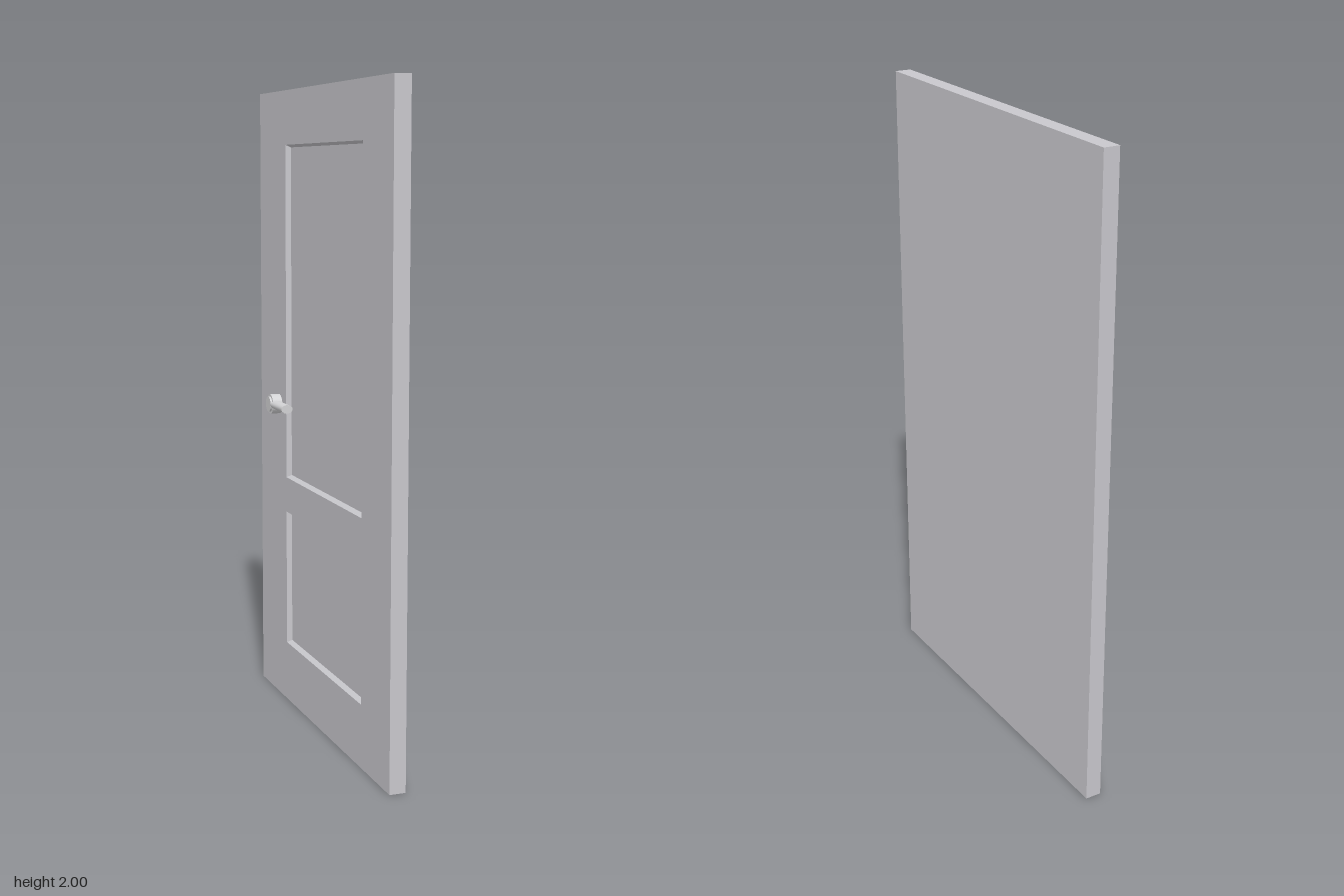
import * as THREE from 'three';

const BACK = 0.0435, FACE = -0.0065, RECESS = 0.016; // slab faces along x, panel depth
const HALF_W = 0.57, HEIGHT = 2;
const PANELS = [
  { z0: -0.315, z1: 0.35, y0: 0.755, y1: 1.83 },
  { z0: -0.315, z1: 0.35, y0: 0.195, y1: 0.64 },
];

// Corners of a rectangle in the door plane, shrunk by an inset
const corners = ({ z0, z1, y0, y1 }, inset = 0) => [
  [z0 + inset, y0 + inset], [z1 - inset, y0 + inset],
  [z1 - inset, y1 - inset], [z0 + inset, y1 - inset],
];
const toPath = (pts, PathType) => new PathType(pts.map(([a, b]) => new THREE.Vector2(a, b)));

// Sloped moulding from the door face down to the sunken panel
function mouldingGeometry(panel) {
  const outer = corners(panel), inner = corners(panel, 0.008);
  const pos = [];
  for (let i = 0; i < 4; i++) {
    const j = (i + 1) % 4;
    const a = [...outer[i], RECESS], b = [...outer[j], RECESS];
    const c = [...inner[j], 0], d = [...inner[i], 0];
    pos.push(...a, ...b, ...c, ...a, ...c, ...d);
  }
  const g = new THREE.BufferGeometry();
  g.setAttribute('position', new THREE.Float32BufferAttribute(pos, 3));
  g.computeVertexNormals();
  return g;
}

export function createModel() {
  const model = new THREE.Group();
  model.name = 'door';
  const paint = new THREE.MeshStandardMaterial({ color: 0xc8c7cc });
  paint.name = 'door paint';
  const metal = new THREE.MeshStandardMaterial({ color: 0xd2d2d4 });
  metal.name = 'handle metal';

  const add = (parent, name, geometry, material) => {
    const mesh = new THREE.Mesh(geometry, material);
    mesh.name = name;
    parent.add(mesh);
    return mesh;
  };

  // Solid core, whose face forms the floor of the panels
  const floorX = FACE + RECESS;
  add(model, 'doorCore', new THREE.BoxGeometry(BACK - floorX, HEIGHT, HALF_W * 2), paint)
    .position.set((BACK + floorX) / 2, HEIGHT / 2, 0);

  // Stiles and rails around the two panels
  const outline = toPath(corners({ z0: -HALF_W, z1: HALF_W, y0: 0, y1: HEIGHT }), THREE.Shape);
  outline.holes = PANELS.map((p) => toPath(corners(p).reverse(), THREE.Path));
  const frame = new THREE.ExtrudeGeometry(outline, { depth: RECESS, bevelEnabled: false });
  frame.rotateY(-Math.PI / 2).translate(floorX, 0, 0);
  add(model, 'doorFrame', frame, paint);

  for (const p of PANELS) {
    const g = mouldingGeometry(p).rotateY(-Math.PI / 2).translate(floorX, 0, 0);
    add(model, 'panelMoulding', g, paint);
  }

  // Handle: round rose, hub and flat rounded lever
  const handle = new THREE.Group();
  handle.name = 'handle';
  handle.position.set(FACE, 0.99, -0.385);
  model.add(handle);

  const disc = (name, radius, x0, x1) => {
    const g = new THREE.CylinderGeometry(radius, radius, x1 - x0, 28).rotateZ(Math.PI / 2);
    add(handle, name, g, metal).position.x = (x0 + x1) / 2;
  };
  disc('rose', 0.032, -0.032, 0);
  disc('hub', 0.025, -0.0385, -0.032);

  const lever = new THREE.CylinderGeometry(1, 1, 0.13, 24).rotateX(Math.PI / 2);
  lever.scale(0.019, 0.014, 1);
  add(handle, 'lever', lever, metal).position.set(-0.0195, 0, 0.07);

  return model;
}
